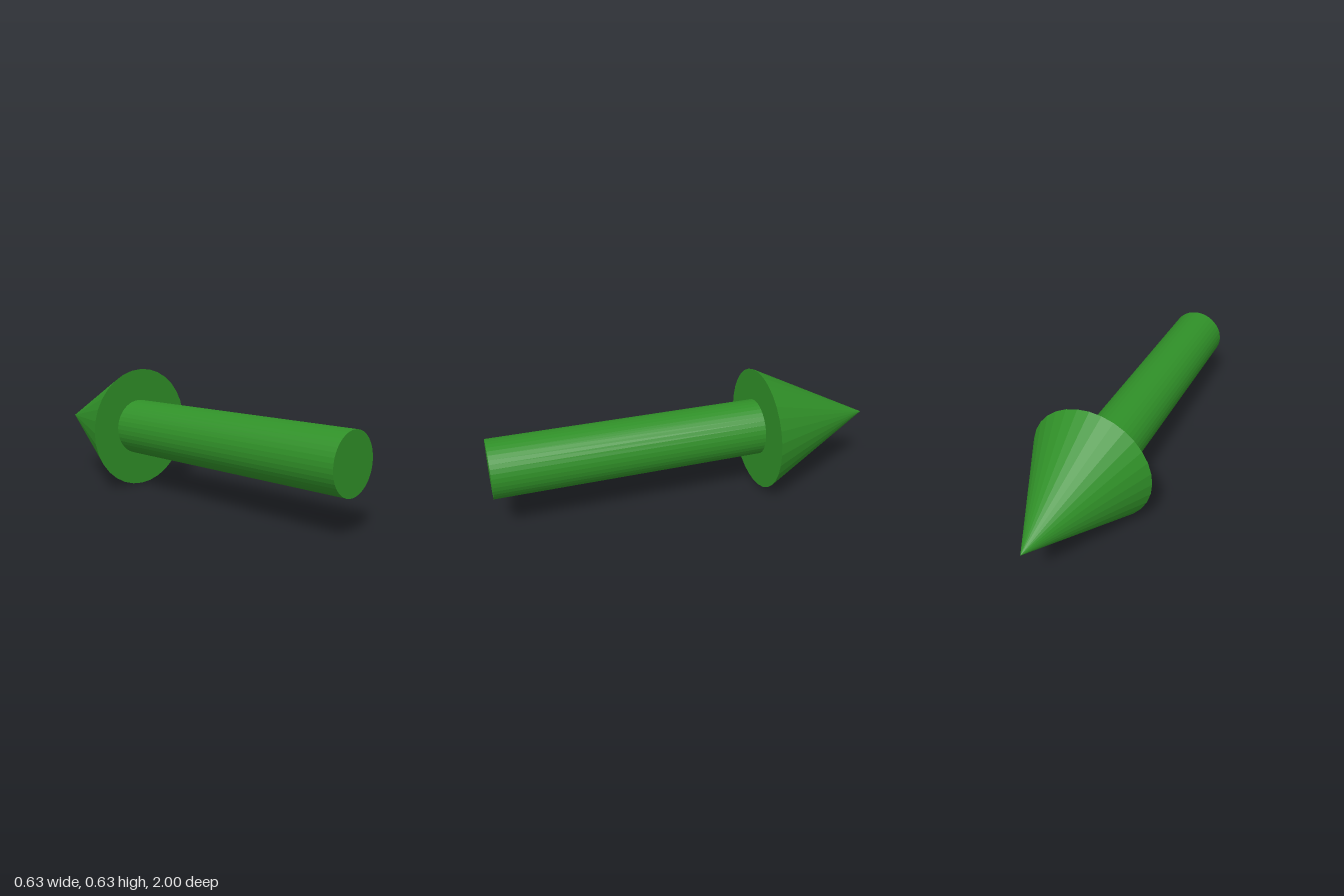
import * as THREE from 'three';

export function createModel() {
  const group = new THREE.Group();
  group.name = 'arrow';
  const material = new THREE.MeshStandardMaterial({ color: 0x309028, flatShading: true });

  // Adds a part whose axis runs along z, from zFront back to zBack
  const addPart = (name, rFront, rBack, sides, x, y, zFront, zBack) => {
    const geometry = new THREE.CylinderGeometry(rBack, rFront, zFront - zBack, sides);
    geometry.rotateX(-Math.PI / 2);
    const mesh = new THREE.Mesh(geometry, material);
    mesh.name = name;
    mesh.position.set(x, y, (zFront + zBack) / 2);
    group.add(mesh);
  };

  // Pointed head, and a shaft set slightly off its axis
  addPart('arrowHead', 0.316, 0, 32, 0, 0.316, -0.37, -1);
  addPart('shaft', 0.145, 0.145, 40, -0.017, 0.32, 1, -0.37);

  return group;
}
